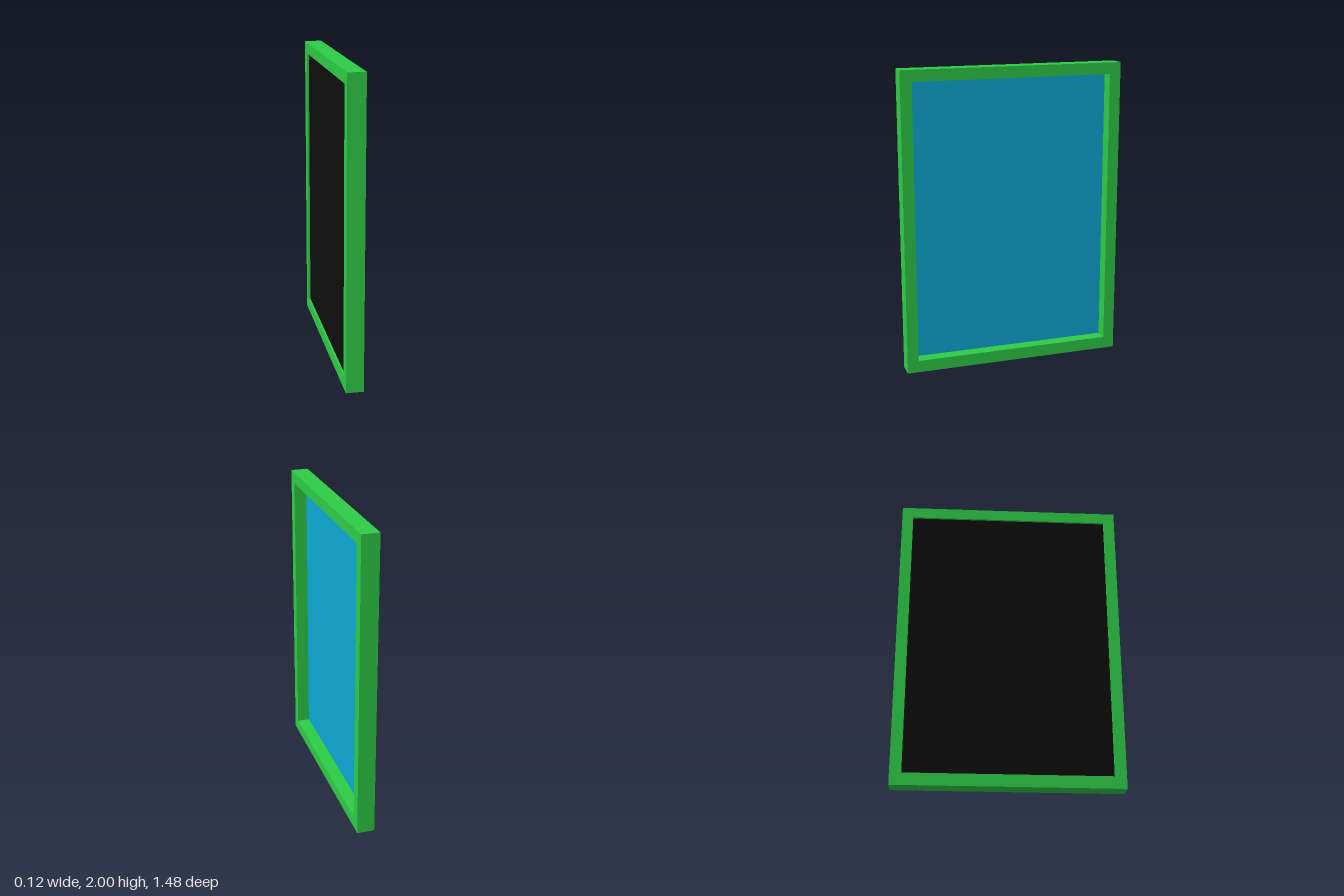
import * as THREE from 'three';

const H = 2, W = 1.48, D = 0.115;          // outer height, width (z) and depth (x)
const SIDE = 0.075, TOP = 0.075, BOTTOM = 0.08;

export function createModel() {
  const group = new THREE.Group();
  const green = new THREE.MeshStandardMaterial({ color: 0x2ecc47 });
  const blue = new THREE.MeshStandardMaterial({ color: 0x0eaad6 });
  const black = new THREE.MeshStandardMaterial({ color: 0x0d0d0d });

  const box = (name, material, size, position) => {
    const mesh = new THREE.Mesh(new THREE.BoxGeometry(...size), material);
    mesh.name = name;
    mesh.position.set(...position);
    group.add(mesh);
  };

  // Frame: full-width rails with the stiles fitted between them
  const innerH = H - TOP - BOTTOM, innerY = BOTTOM + innerH / 2;
  box('topRail', green, [D, TOP, W], [0, H - TOP / 2, 0]);
  box('bottomRail', green, [D, BOTTOM, W], [0, BOTTOM / 2, 0]);
  for (const [name, s] of [['frontStile', 1], ['backStile', -1]]) {
    box(name, green, [D, innerH, SIDE], [0, innerY, s * (W - SIDE) / 2]);
  }

  // Blue panel set deep in the frame, with a black backing sheet
  const innerW = W - 2 * SIDE;
  box('bluePanel', blue, [0.008, innerH, innerW], [-0.031, innerY, 0]);
  box('blackBacking', black, [0.008, innerH, innerW], [-0.039, innerY, 0]);

  return group;
}
